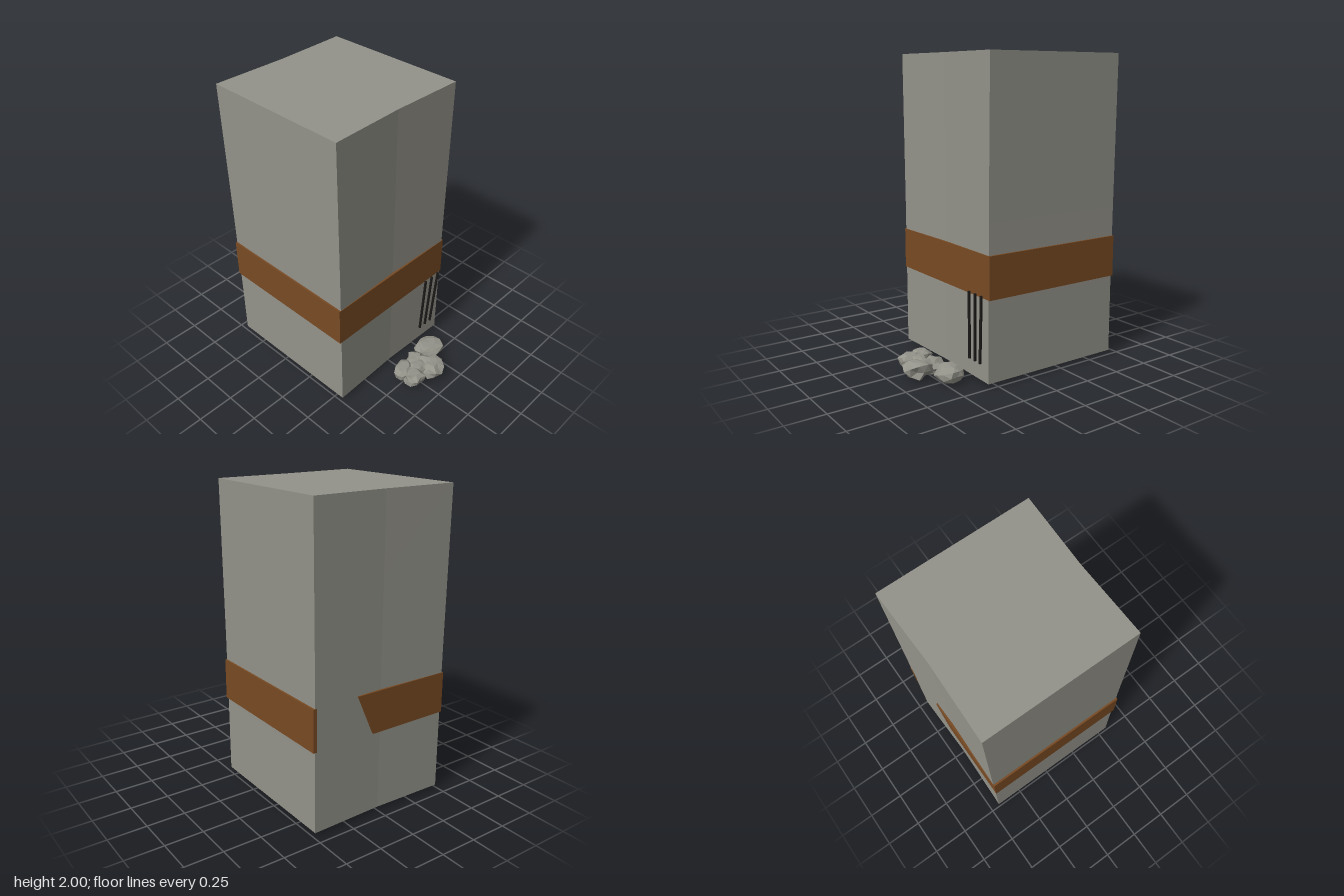
import * as THREE from 'three';
import { mergeVertices } from 'three/addons/utils/BufferGeometryUtils.js';

const ZC = -0.185; // centre of the pillar in z

function material(color) {
  return new THREE.MeshStandardMaterial({ color, flatShading: true });
}

function addMesh(parent, name, geometry, mat) {
  const mesh = new THREE.Mesh(geometry, mat);
  mesh.name = name;
  parent.add(mesh);
  return mesh;
}

// Small seeded generator for the rubble
function seeded(seed) {
  let s = seed;
  return () => (s = (s * 16807) % 2147483647) / 2147483647;
}

// Square block, slightly narrowed downwards and pinched along its middle
function pillarGeometry() {
  const geo = new THREE.BoxGeometry(1, 1.975, 1, 2, 4, 2);
  const p = geo.attributes.position;
  for (let i = 0; i < p.count; i++) {
    const x = p.getX(i), y = p.getY(i), z = p.getZ(i);
    const h = y / 1.975 + 0.5;
    const taper = 0.977 + 0.023 * Math.max(0, (h - 0.4) / 0.6);
    const pinch = 1 - 0.026 * (1 - Math.abs(x) * 2);
    p.setXYZ(i, x * taper, y - (h === 1 && z === 0 ? 0.004 : 0), z * pinch);
  }
  geo.translate(0, 1.0125, ZC);
  return geo;
}

// Jagged stone fitted to the box between lo and hi
function stoneGeometry(seed, lo, hi) {
  let geo = new THREE.IcosahedronGeometry(1, 1);
  geo.deleteAttribute('uv');
  geo.deleteAttribute('normal');
  geo = mergeVertices(geo, 1e-4);
  const rnd = seeded(seed);
  const p = geo.attributes.position;
  const v = new THREE.Vector3();
  for (let i = 0; i < p.count; i++) {
    v.fromBufferAttribute(p, i).multiplyScalar(0.72 + 0.5 * rnd());
    p.setXYZ(i, v.x, THREE.MathUtils.clamp(v.y, -0.72, 0.72), v.z);
  }
  geo.computeBoundingBox();
  const { min, max } = geo.boundingBox;
  const fit = (c, k) => lo[k] + (c - min.getComponent(k)) /
    (max.getComponent(k) - min.getComponent(k)) * (hi[k] - lo[k]);
  for (let i = 0; i < p.count; i++) {
    p.setXYZ(i, fit(p.getX(i), 0), fit(p.getY(i), 1), fit(p.getZ(i), 2));
  }
  geo.computeVertexNormals();
  return geo;
}

export function createModel() {
  const model = new THREE.Group();
  model.name = 'stonePillar';
  const stone = material(0x94938a);
  const rust = material(0x784a23);
  const dark = material(0x1c1a19);

  addMesh(model, 'pillar', pillarGeometry(), stone);

  // Painted band around the front and both sides
  const band = new THREE.Group();
  band.name = 'band';
  model.add(band);
  const t = 0.025, y0 = 0.55, y1 = 0.82, yc = (y0 + y1) / 2;
  addMesh(band, 'bandFront', new THREE.BoxGeometry(1.004, y1 - y0, t), rust)
    .position.set(0, yc, 0.317 - t / 2);
  for (const s of [-1, 1]) {
    addMesh(band, s > 0 ? 'bandLeft' : 'bandRight',
      new THREE.BoxGeometry(t, y1 - y0, 1.004), rust)
      .position.set(s * (0.502 - t / 2), yc, ZC);
  }

  // The back strip stops short with a slanted end
  const strip = new THREE.Shape([
    new THREE.Vector2(-0.502, y0), new THREE.Vector2(0.06, y0),
    new THREE.Vector2(0.18, y1), new THREE.Vector2(-0.502, y1),
  ]);
  addMesh(band, 'bandBack',
    new THREE.ExtrudeGeometry(strip, { depth: t, bevelEnabled: false }), rust)
    .position.z = -0.687;

  // Three leaning claw marks
  const marks = new THREE.Group();
  marks.name = 'scratches';
  model.add(marks);
  for (let i = 0; i < 3; i++) {
    const a = new THREE.Vector3(0.3 + i * 0.056, 0.135, 0.324);
    const b = new THREE.Vector3(0.315 + i * 0.065, 0.57, 0.338);
    const path = new THREE.LineCurve3(a, b);
    addMesh(marks, 'scratch', new THREE.CylinderGeometry(0.01, 0.01, path.getLength(), 6), dark);
    const mark = marks.children[i];
    mark.position.copy(a).lerp(b, 0.5);
    mark.quaternion.setFromUnitVectors(new THREE.Vector3(0, 1, 0), b.clone().sub(a).normalize());
  }

  // Rubble in front: a cluster and one loose stone, as x and z ranges
  const rubble = new THREE.Group();
  rubble.name = 'rubble';
  model.add(rubble);
  [
    [-0.11, 0.02, 0.4, 0.55],
    [-0.1, 0.05, 0.49, 0.63],
    [0, 0.17, 0.4, 0.54],
    [0.03, 0.19, 0.5, 0.685],
    [-0.03, 0.1, 0.45, 0.6],
    [0.16, 0.355, 0.365, 0.535],
  ].forEach(([xa, xb, za, zb], i) => {
    const top = 0.118 - 0.008 * (i % 3);
    addMesh(rubble, 'stone', stoneGeometry(911 + i * 7919, [xa, i === 0 ? 0 : 0.008, za], [xb, top, zb]), stone);
  });

  return model;
}
